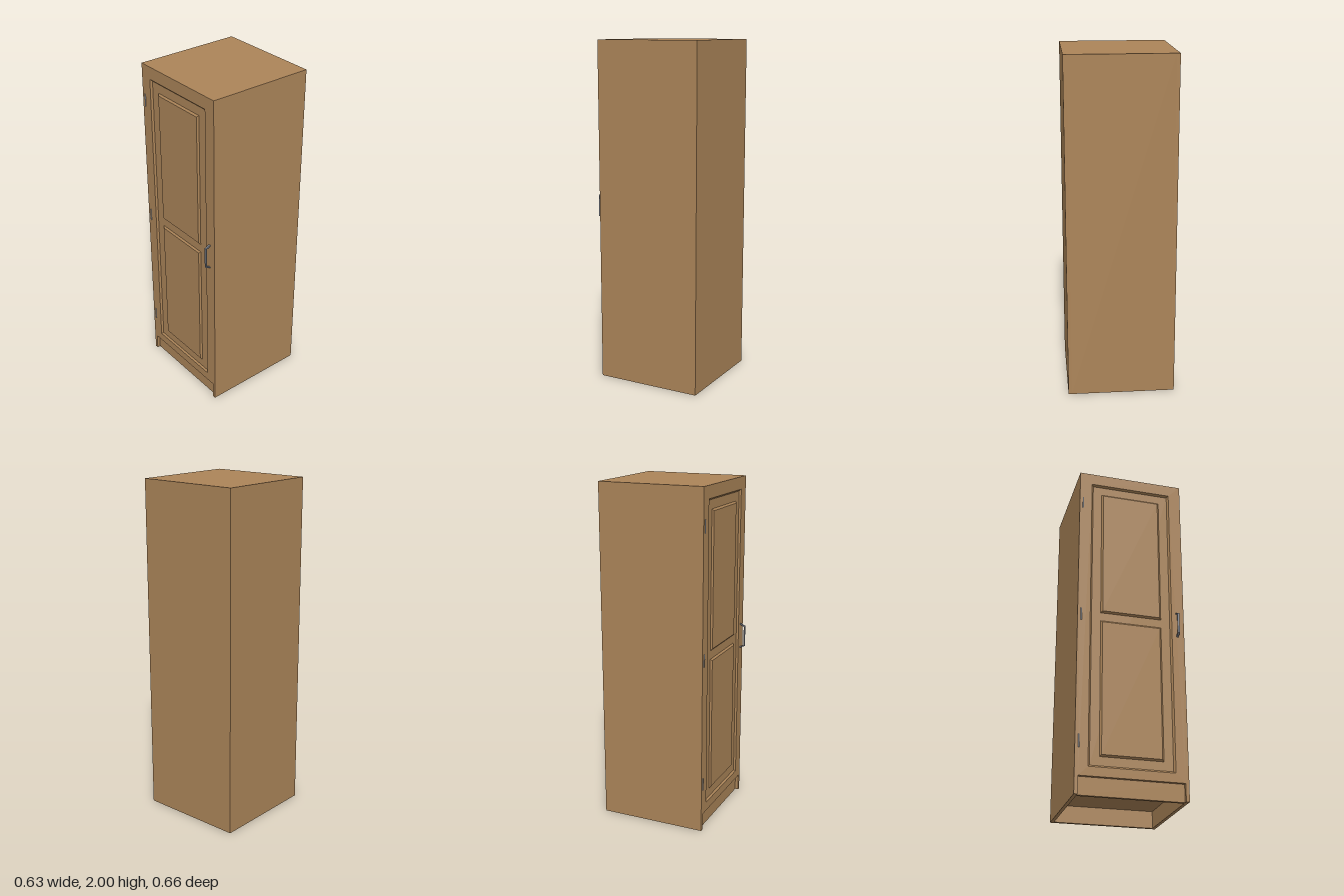
import * as THREE from 'three';

const wood = new THREE.MeshStandardMaterial({ color: 0xac8559 });
wood.name = 'wood';
const steel = new THREE.MeshStandardMaterial({ color: 0x858a94 });
steel.name = 'handleSteel';
const hingeMetal = new THREE.MeshStandardMaterial({ color: 0xb4b6bc });
hingeMetal.name = 'hingeMetal';

const W = 0.315, BACK = -0.333, FRONT = 0.3, H = 2, T = 0.02, KICK = 0.1;

export function createModel() {
  const group = new THREE.Group();

  const add = (name, geometry, material) => {
    const mesh = new THREE.Mesh(geometry, material);
    mesh.name = name;
    group.add(mesh);
    return mesh;
  };

  // Box given by its limits on each axis
  const box = (name, x0, x1, y0, y1, z0, z1, material = wood) =>
    add(name, new THREE.BoxGeometry(x1 - x0, y1 - y0, z1 - z0), material)
      .position.set((x0 + x1) / 2, (y0 + y1) / 2, (z0 + z1) / 2);

  // Sloped rim joining a rectangle at z0 to a smaller one at z1
  const bevel = (name, hw, y0, y1, inset, z0, z1) => {
    const corners = (d, z) => [
      [-hw + d, y0 + d, z], [hw - d, y0 + d, z], [hw - d, y1 - d, z], [-hw + d, y1 - d, z],
    ];
    const a = corners(0, z0), b = corners(inset, z1), points = [];
    for (let i = 0; i < 4; i++) {
      const j = (i + 1) % 4;
      points.push(...a[i], ...a[j], ...b[j], ...a[i], ...b[j], ...b[i]);
    }
    const g = new THREE.BufferGeometry();
    g.setAttribute('position', new THREE.Float32BufferAttribute(points, 3));
    g.computeVertexNormals();
    add(name, g, wood);
  };

  // Carcass
  const inner = W - T;
  box('leftSide', inner, W, 0, H, BACK, FRONT - T);
  box('rightSide', -W, -inner, 0, H, BACK, FRONT - T);
  box('backPanel', -inner, inner, 0, H, BACK, BACK + T);
  box('topPanel', -inner, inner, H - T, H, BACK + T, FRONT - T);
  box('floorPanel', -inner, inner, KICK, KICK + T, BACK + T, FRONT - T);
  box('toeKick', -inner, inner, 0, KICK, FRONT - 2 * T, FRONT - T);

  // Front frame with a toe notch and the door opening
  const doorW = 0.242, doorY0 = 0.152, doorY1 = 1.928, rim = 0.01;
  const outline = new THREE.Shape([
    [-W, 0], [-inner, 0], [-inner, KICK], [inner, KICK], [inner, 0], [W, 0], [W, H], [-W, H],
  ].map(([x, y]) => new THREE.Vector2(x, y)));
  outline.holes.push(new THREE.Path([
    [-doorW, doorY0], [-doorW, doorY1], [doorW, doorY1], [doorW, doorY0],
  ].map(([x, y]) => new THREE.Vector2(x, y))));
  add('frontFrame', new THREE.ExtrudeGeometry(outline, { depth: T, bevelEnabled: false }), wood)
    .position.z = FRONT - T;

  // Recessed door field with two raised panels
  const fieldZ = FRONT - 0.01, raisedZ = FRONT - 0.001;
  bevel('doorRim', doorW, doorY0, doorY1, rim, FRONT, fieldZ);
  box('doorField', -doorW + rim, doorW - rim, doorY0 + rim, doorY1 - rim, FRONT - T, fieldZ);
  for (const [name, y0, y1] of [['lowerPanel', 0.213, 1.015], ['upperPanel', 1.065, 1.866]]) {
    bevel(name + 'Bevel', 0.179, y0, y1, rim, fieldZ, raisedZ);
    box(name, -0.179 + rim, 0.179 - rim, y0 + rim, y1 - rim, fieldZ - 0.002, raisedZ);
  }

  // Hinge barrels
  for (const y of [0.29, 1.04, 1.787]) {
    add('hinge', new THREE.CylinderGeometry(0.004, 0.004, 0.074, 12), hingeMetal)
      .position.set(-0.294, y, FRONT);
  }

  // Bow handle, a flat bar bent outwards
  const bar = new THREE.Shape([
    [0.298, 0.962], [0.331, 0.977], [0.331, 1.103], [0.298, 1.118],
    [0.298, 1.111], [0.325, 1.098], [0.325, 0.982], [0.298, 0.969],
  ].map(([z, y]) => new THREE.Vector2(-z, y)));
  const handle = add('handle',
    new THREE.ExtrudeGeometry(bar, { depth: 0.012, bevelEnabled: false }), steel);
  handle.rotation.y = Math.PI / 2;
  handle.position.x = 0.267;

  return group;
}
